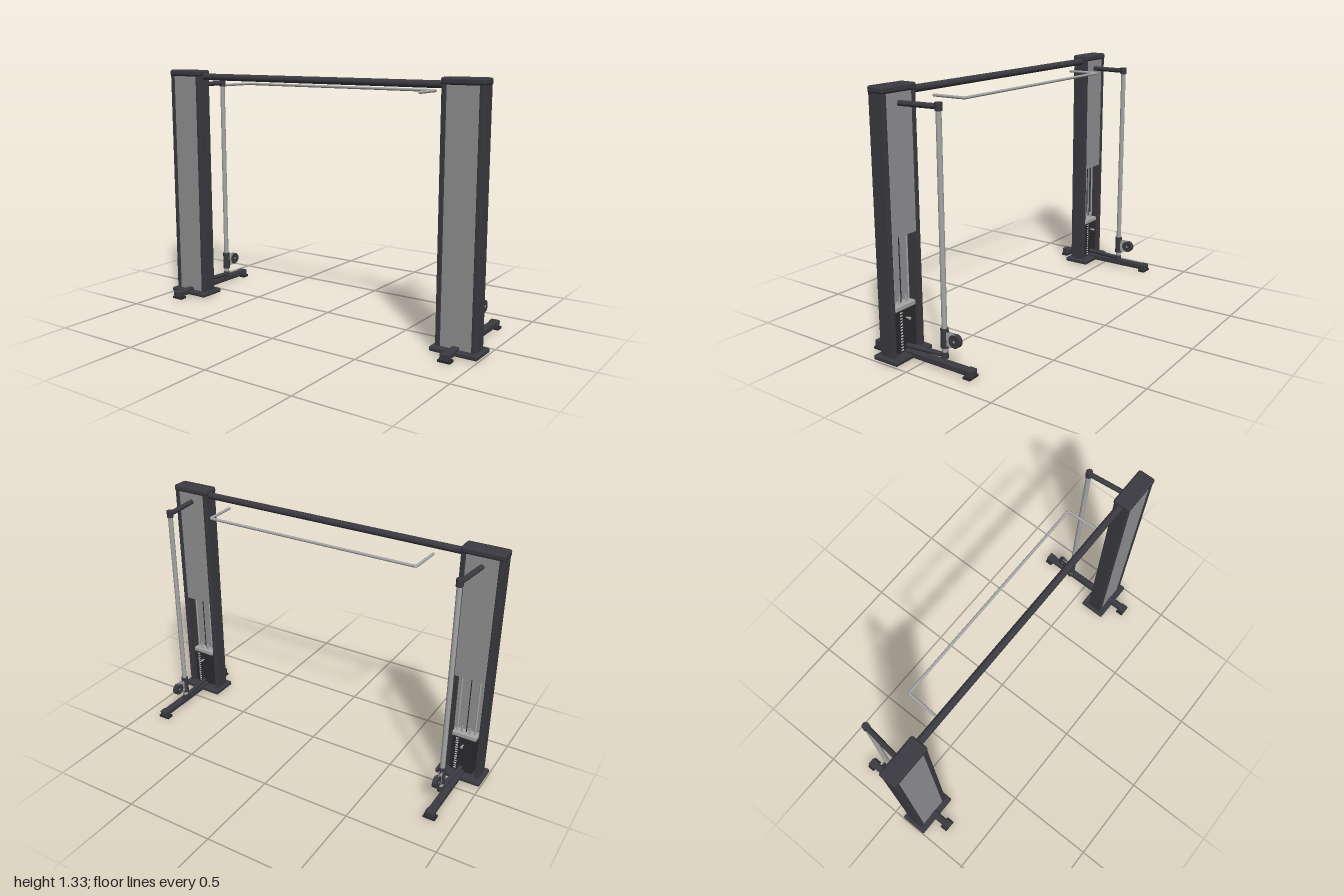
import * as THREE from 'three';
import { RoundedBoxGeometry } from 'three/addons/geometries/RoundedBoxGeometry.js';

const paint = (name, color) => {
  const m = new THREE.MeshStandardMaterial({ color });
  m.name = name;
  return m;
};
const V = (x, y, z) => new THREE.Vector3(x, y, z);

export function createModel() {
  const frame = paint('charcoal frame', 0x3b3a41);
  const black = paint('black iron', 0x29292d);
  const panel = paint('grey panel', 0x929294);
  const steel = paint('brushed steel', 0xa6a6a6);
  const label = paint('pale label', 0xd0d0d0);
  const root = new THREE.Group();
  root.name = 'cableCrossover';

  const add = (parent, name, geo, mat) => {
    const m = new THREE.Mesh(geo, mat);
    m.name = name;
    parent.add(m);
    return m;
  };
  // box given by its minimum and maximum corners
  const box = (p, name, mat, x0, x1, y0, y1, z0, z1, r = 0) => {
    const w = x1 - x0, h = y1 - y0, d = z1 - z0;
    const geo = r ? new RoundedBoxGeometry(w, h, d, 2, r) : new THREE.BoxGeometry(w, h, d);
    const m = add(p, name, geo, mat);
    m.position.set((x0 + x1) / 2, (y0 + y1) / 2, (z0 + z1) / 2);
    return m;
  };
  // round bar between two points
  const rod = (p, name, mat, a, b, r, n = 20) => {
    const m = add(p, name, new THREE.CylinderGeometry(r, r, a.distanceTo(b), n), mat);
    m.position.copy(a).lerp(b, 0.5);
    m.quaternion.setFromUnitVectors(V(0, 1, 0), b.clone().sub(a).normalize());
    return m;
  };

  for (const s of [-1, 1]) {
    const tower = new THREE.Group();
    tower.name = s > 0 ? 'leftTower' : 'rightTower';
    tower.position.x = s * 0.87;
    root.add(tower);

    // base plate, floor rail and rubber feet
    box(tower, 'basePlate', frame, -0.128, 0.128, 0.005, 0.03, 0.06, 0.212, 0.008);
    box(tower, 'floorRail', frame, -0.02, 0.02, 0.011, 0.045, -0.3, 0.3, 0.008);
    for (const e of [-1, 1]) {
      box(tower, 'railEnd', frame, -0.024, 0.024, 0.009, 0.046, e * 0.285 - 0.02, e * 0.285 + 0.02, 0.006);
      box(tower, 'footPad', black, -0.034, 0.034, 0, 0.014, e * 0.283 - 0.022, e * 0.283 + 0.022, 0.004);
    }

    // tower: side columns, panels and rounded cap
    for (const e of [-1, 1])
      box(tower, 'column', frame, e * 0.096 - 0.013, e * 0.096 + 0.013, 0.025, 1.305, 0.097, 0.183, 0.004);
    box(tower, 'frontPanel', panel, -0.085, 0.085, 0.03, 1.3, 0.172, 0.179);
    box(tower, 'rearPanel', panel, -0.085, 0.085, 0.62, 1.3, 0.101, 0.108);
    box(tower, 'topCap', frame, -0.113, 0.113, 1.294, 1.33, 0.092, 0.188, 0.012);

    // weight stack with labels, guide rods and selector pin
    const stack = new THREE.Group();
    stack.name = 'weightStack';
    tower.add(stack);
    for (let i = 0; i < 14; i++) {
      const y = 0.04 + i * 0.0148;
      box(stack, 'weightPlate', black, -0.066, 0.066, y, y + 0.0125, 0.108, 0.158);
      box(stack, 'weightLabel', label, 0.028, 0.042, y + 0.003, y + 0.0095, 0.106, 0.1085);
    }
    box(stack, 'stackCore', black, -0.058, 0.058, 0.03, 0.25, 0.114, 0.152);
    box(stack, 'topPlate', steel, -0.068, 0.068, 0.25, 0.275, 0.106, 0.16, 0.004);
    for (const e of [-1, 1]) {
      rod(stack, 'guideRod', steel, V(e * 0.05, 0.03, 0.135), V(e * 0.05, 1.3, 0.135), 0.005, 12);
      rod(stack, 'topStud', steel, V(e * 0.022, 0.27, 0.128), V(e * 0.022, 0.31, 0.128), 0.005, 12);
    }
    rod(stack, 'liftCable', black, V(0, 0.27, 0.138), V(0, 1.3, 0.138), 0.0025, 8);
    rod(stack, 'selectorPin', steel, V(0, 0.205, 0.11), V(0, 0.205, 0.09), 0.004, 12);
    rod(stack, 'selectorKnob', steel, V(0, 0.205, 0.092), V(0, 0.205, 0.082), 0.007, 12);

    // arms leaning inwards to the upright pole
    const px = -s * 0.022, pz = -0.113;
    rod(tower, 'upperArm', frame, V(0, 1.245, 0.104), V(px, 1.245, pz), 0.0135);
    rod(tower, 'upperSocket', frame, V(px, 1.226, pz), V(px, 1.264, pz), 0.018);
    rod(tower, 'lowerArm', frame, V(0, 0.06, 0.104), V(px, 0.06, pz), 0.0125);
    rod(tower, 'lowerSocket', frame, V(px, 0.044, pz), V(px, 0.077, pz), 0.017);
    rod(tower, 'pole', steel, V(px, 0.06, pz), V(px, 1.24, pz), 0.0135, 28);

    // sliding carriage with swivelling pulley
    const carriage = new THREE.Group();
    carriage.name = 'pulleyCarriage';
    carriage.position.set(px, 0.147, pz);
    tower.add(carriage);
    rod(carriage, 'sleeve', frame, V(0, -0.048, 0), V(0, 0.05, 0), 0.02);
    for (const e of [-1, 1])
      box(carriage, 'pulleyBracket', steel, e * 0.008 - 0.0015, e * 0.008 + 0.0015, -0.034, 0.034, -0.07, -0.015);
    rod(carriage, 'pulleyWheel', frame, V(-0.0125, 0, -0.066), V(0.0125, 0, -0.066), 0.033, 32);
    rod(carriage, 'pulleyAxle', steel, V(-0.014, 0, -0.066), V(0.014, 0, -0.066), 0.006, 12);
  }

  // cross beam joining the towers
  rod(root, 'crossBeam', frame, V(-0.78, 1.293, 0.132), V(0.78, 1.293, 0.132), 0.0185, 28);

  // bent pull-up bar behind the beam
  const path = new THREE.CurvePath();
  const pts = [V(-0.614, 1.25, 0.115), V(-0.608, 1.25, -0.053), V(-0.596, 1.25, -0.065),
    V(0.596, 1.25, -0.065), V(0.608, 1.25, -0.053), V(0.614, 1.25, 0.115)];
  path.add(new THREE.LineCurve3(pts[0], pts[1]));
  path.add(new THREE.QuadraticBezierCurve3(pts[1], V(-0.608, 1.25, -0.065), pts[2]));
  path.add(new THREE.LineCurve3(pts[2], pts[3]));
  path.add(new THREE.QuadraticBezierCurve3(pts[3], V(0.608, 1.25, -0.065), pts[4]));
  path.add(new THREE.LineCurve3(pts[4], pts[5]));
  add(root, 'pullUpBar', new THREE.TubeGeometry(path, 320, 0.0075, 12), steel);
  for (const i of [0, 5])
    add(root, 'barEnd', new THREE.SphereGeometry(0.0075, 12, 8), steel).position.copy(pts[i]);

  return root;
}
